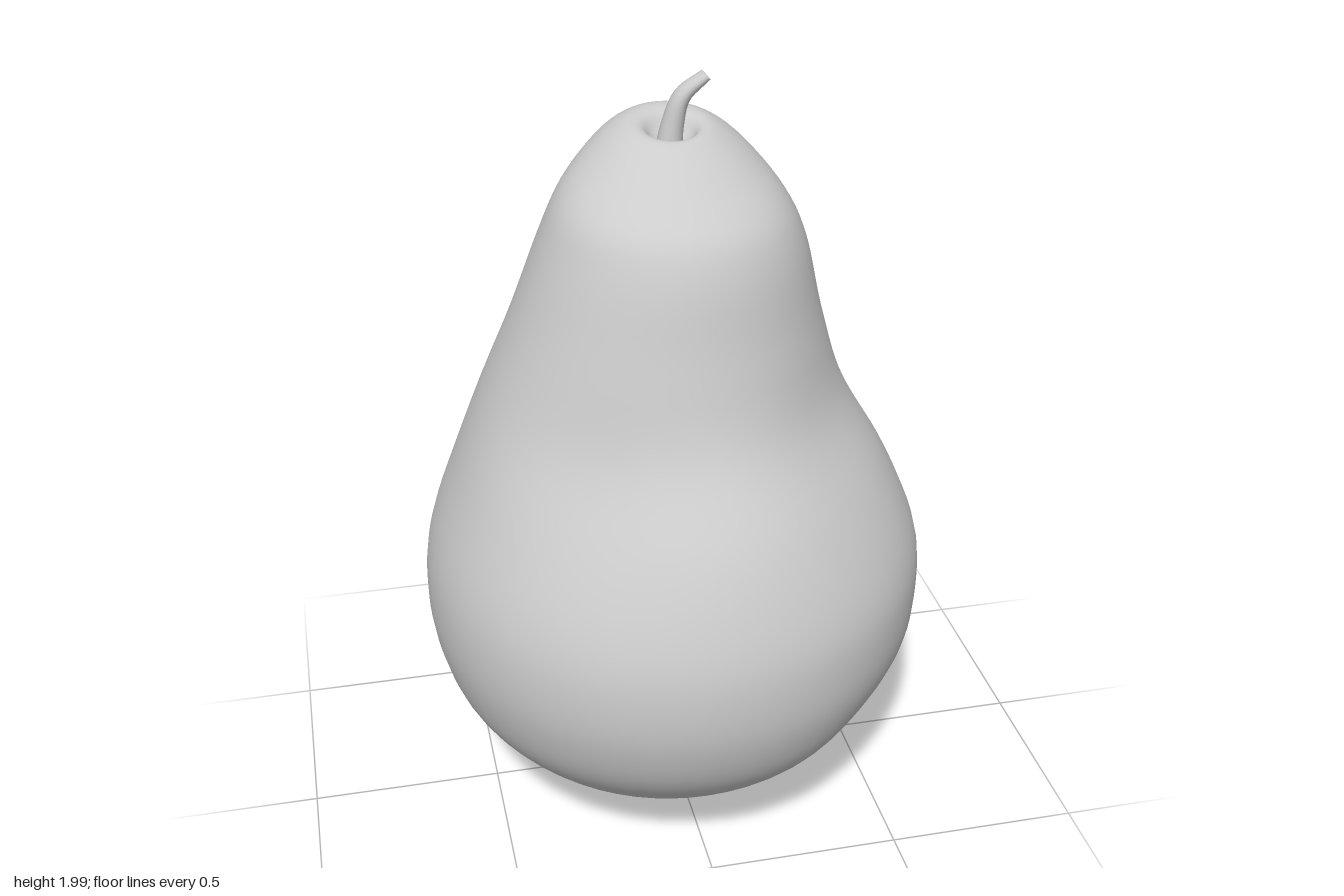
import * as THREE from 'three';

// Smooth closed-ring surface: point(u, angle) gives a Vector3, u runs upward 0..1
function loft(rows, sides, point) {
  const pos = [], index = [];
  for (let i = 0; i <= rows; i++) {
    for (let j = 0; j < sides; j++) {
      const p = point(i / rows, (j / sides) * Math.PI * 2);
      pos.push(p.x, p.y, p.z);
      if (i === rows) continue;
      const k = (j + 1) % sides;
      const a = i * sides + j, b = i * sides + k, c = a + sides, d = b + sides;
      index.push(a, c, b, b, c, d);
    }
  }
  const g = new THREE.BufferGeometry();
  g.setAttribute('position', new THREE.Float32BufferAttribute(pos, 3));
  g.setIndex(index);
  g.computeVertexNormals();
  return g;
}

// Body cross-sections: y, xMin, xMax, zMin, zMax
const SECTIONS = [
  [0.05, 0, 0, -0.09, -0.09],
  [0.03, -0.03, 0.03, -0.12, -0.06],
  [0.005, -0.11, 0.10, -0.17, 0.02],
  [0.03, -0.19, 0.18, -0.23, 0.11],
  [0.1, -0.33, 0.31, -0.34, 0.28],
  [0.2, -0.46, 0.44, -0.45, 0.44],
  [0.35, -0.58, 0.57, -0.59, 0.59],
  [0.5, -0.635, 0.63, -0.66, 0.66],
  [0.65, -0.65, 0.648, -0.68, 0.68],
  [0.8, -0.63, 0.635, -0.66, 0.66],
  [1.0, -0.56, 0.55, -0.58, 0.58],
  [1.2, -0.485, 0.44, -0.455, 0.45],
  [1.4, -0.405, 0.37, -0.36, 0.385],
  [1.6, -0.33, 0.32, -0.3, 0.34],
  [1.72, -0.275, 0.26, -0.24, 0.28],
  [1.81, -0.19, 0.18, -0.185, 0.19],
  [1.86, -0.12, 0.11, -0.12, 0.11],
  [1.865, -0.075, 0.07, -0.07, 0.075],
  [1.835, -0.045, 0.04, -0.035, 0.055],
  [1.81, 0, 0, 0.015, 0.015],
];
const xCurve = new THREE.CatmullRomCurve3(
  SECTIONS.map(([y, x0, x1]) => new THREE.Vector3(x0, y, x1)), false, 'catmullrom', 0.5);
const zCurve = new THREE.CatmullRomCurve3(
  SECTIONS.map(([y, , , z0, z1]) => new THREE.Vector3(z0, y, z1)), false, 'catmullrom', 0.5);

// Soft hollows that make the fruit uneven: centre, spread, depth
const DENTS = [
  [0.59, 0.72, -0.22, 0.2, 0.06],
  [0.4, 1.12, -0.2, 0.2, 0.06],
  [-0.25, 1.08, 0.4, 0.22, 0.06],
  [0.34, 1.12, 0.34, 0.22, 0.05],
  [0.42, 0.32, 0.42, 0.2, 0.04],
].map(([x, y, z, spread, depth]) => ({ at: new THREE.Vector3(x, y, z), spread, depth }));

function bodyPoint(u, angle) {
  const px = xCurve.getPoint(u), pz = zCurve.getPoint(u);
  const p = new THREE.Vector3(
    (px.x + px.z) / 2 + ((px.z - px.x) / 2) * Math.cos(angle),
    px.y,
    (pz.x + pz.z) / 2 + ((pz.z - pz.x) / 2) * Math.sin(angle));
  let scale = 1;
  for (const { at, spread, depth } of DENTS) {
    scale -= depth * Math.exp(-p.distanceToSquared(at) / (spread * spread));
  }
  p.x *= scale;
  p.z *= scale;
  // The crown leans slightly toward the front
  p.y -= 0.2 * p.z * THREE.MathUtils.smoothstep(p.y, 1.65, 1.85);
  return p;
}

// Curved, tapering stem with a blunt tip
const stemPath = new THREE.CatmullRomCurve3([
  new THREE.Vector3(-0.012, 1.8, 0.018),
  new THREE.Vector3(-0.002, 1.87, 0.018),
  new THREE.Vector3(0.02, 1.94, 0.022),
  new THREE.Vector3(0.076, 1.988, 0.026),
]);
function stemPoint(u, angle) {
  const t = Math.min(u / 0.9, 1);
  const tip = u > 0.99 ? 0 : 1;
  const c = stemPath.getPoint(t), dir = stemPath.getTangent(t);
  const wide = THREE.MathUtils.lerp(0.034, 0.023, t) * tip;
  const thin = THREE.MathUtils.lerp(0.034, 0.014, t) * tip;
  c.x += dir.y * thin * Math.cos(angle);
  c.y -= dir.x * thin * Math.cos(angle);
  c.z += wide * Math.sin(angle);
  return c;
}

export function createModel() {
  const group = new THREE.Group();
  group.name = 'pear';
  const material = new THREE.MeshStandardMaterial({ color: 0xcccccc });
  const add = (name, geometry) => {
    const mesh = new THREE.Mesh(geometry, material);
    mesh.name = name;
    group.add(mesh);
  };
  add('fruitBody', loft(95, 64, bodyPoint));
  add('stem', loft(20, 16, stemPoint));
  return group;
}
